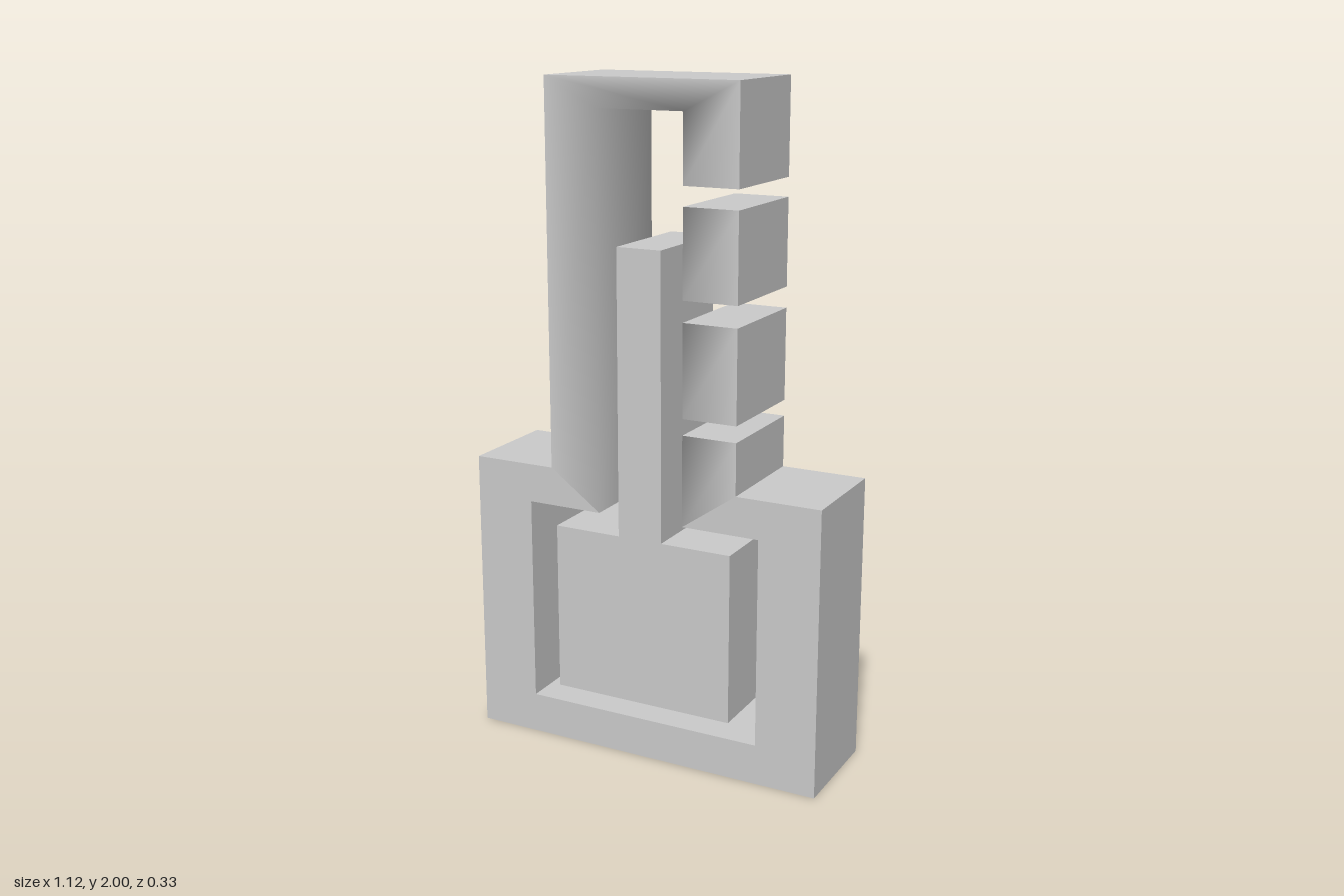
import * as THREE from 'three';
import { mergeGeometries } from 'three/addons/utils/BufferGeometryUtils.js';

const HALF = 0.165; // half depth of every part
const material = new THREE.MeshStandardMaterial({ color: 0xcccccc });

// Flat outline pushed through the full depth
function slab(name, points) {
  const shape = new THREE.Shape(points.map(([x, y]) => new THREE.Vector2(x, y)));
  const geometry = new THREE.ExtrudeGeometry(shape, { depth: 2 * HALF, bevelEnabled: false });
  geometry.translate(0, 0, -HALF);
  const mesh = new THREE.Mesh(geometry, material);
  mesh.name = name;
  return mesh;
}

function indexed(vertices, quads) {
  const g = new THREE.BufferGeometry();
  g.setAttribute('position', new THREE.Float32BufferAttribute(vertices.flat(), 3));
  g.setIndex(quads.flatMap(([a, b, c, d]) => [a, b, c, a, c, d]));
  return g;
}

// Tube wall swept clockwise along stations [outerX, outerY, innerX, innerY].
// Front, inner and back sides blend smoothly; outer side and ends stay flat.
function wall(name, stations) {
  const vertices = [], smooth = [], flat = [];
  stations.forEach(([ox, oy, ix, iy], i) => {
    vertices.push([ox, oy, HALF], [ix, iy, HALF], [ix, iy, -HALF], [ox, oy, -HALF]);
    if (i === stations.length - 1) return;
    const k = i * 4;
    for (let s = 0; s < 4; s++) {
      const t = (s + 1) % 4;
      (s < 3 ? smooth : flat).push([k + s, k + t, k + 4 + t, k + 4 + s]);
    }
  });
  const e = vertices.length - 4;
  flat.push([0, 3, 2, 1], [e, e + 1, e + 2, e + 3]);

  const soft = indexed(vertices, smooth);
  soft.computeVertexNormals();
  const hard = indexed(vertices, flat).toNonIndexed();
  hard.computeVertexNormals();
  const mesh = new THREE.Mesh(mergeGeometries([soft.toNonIndexed(), hard]), material);
  mesh.name = name;
  return mesh;
}

export function createModel() {
  const model = new THREE.Group();
  model.name = 'thermometer';

  // Open-topped square bulb housing
  model.add(slab('bulbHousing', [
    [-0.558, 0], [0.558, 0], [0.558, 0.866], [0.3, 0.866], [0.133, 0.75], [0.371, 0.75],
    [0.371, 0.122], [-0.374, 0.122], [-0.374, 0.75], [-0.139, 0.75], [-0.3, 0.866], [-0.558, 0.866],
  ]));

  // Bulb and column of fluid
  model.add(slab('fluidColumn', [
    [-0.285, 0.173], [0.284, 0.173], [0.284, 0.688], [0.065, 0.688],
    [0.065, 1.538], [-0.074, 1.538], [-0.074, 0.688], [-0.285, 0.688],
  ]));

  // Tube: one side, the top and the short upper end of the other side
  model.add(wall('tubeWall', [
    [-0.3, 0.866, -0.139, 0.75], [-0.3, 2, -0.139, 1.915],
    [0.3, 2, 0.133, 1.915], [0.3, 1.718, 0.133, 1.718],
  ]));

  // Separate blocks between the scale notches
  for (const [top, bottom] of [[1.662, 1.405], [1.343, 1.069]]) {
    model.add(wall('scaleBlock', [[0.3, top, 0.133, top], [0.3, bottom, 0.133, bottom]]));
  }
  model.add(wall('lowerScaleBlock', [[0.3, 1.021, 0.133, 1.021], [0.3, 0.866, 0.133, 0.75]]));

  return model;
}
